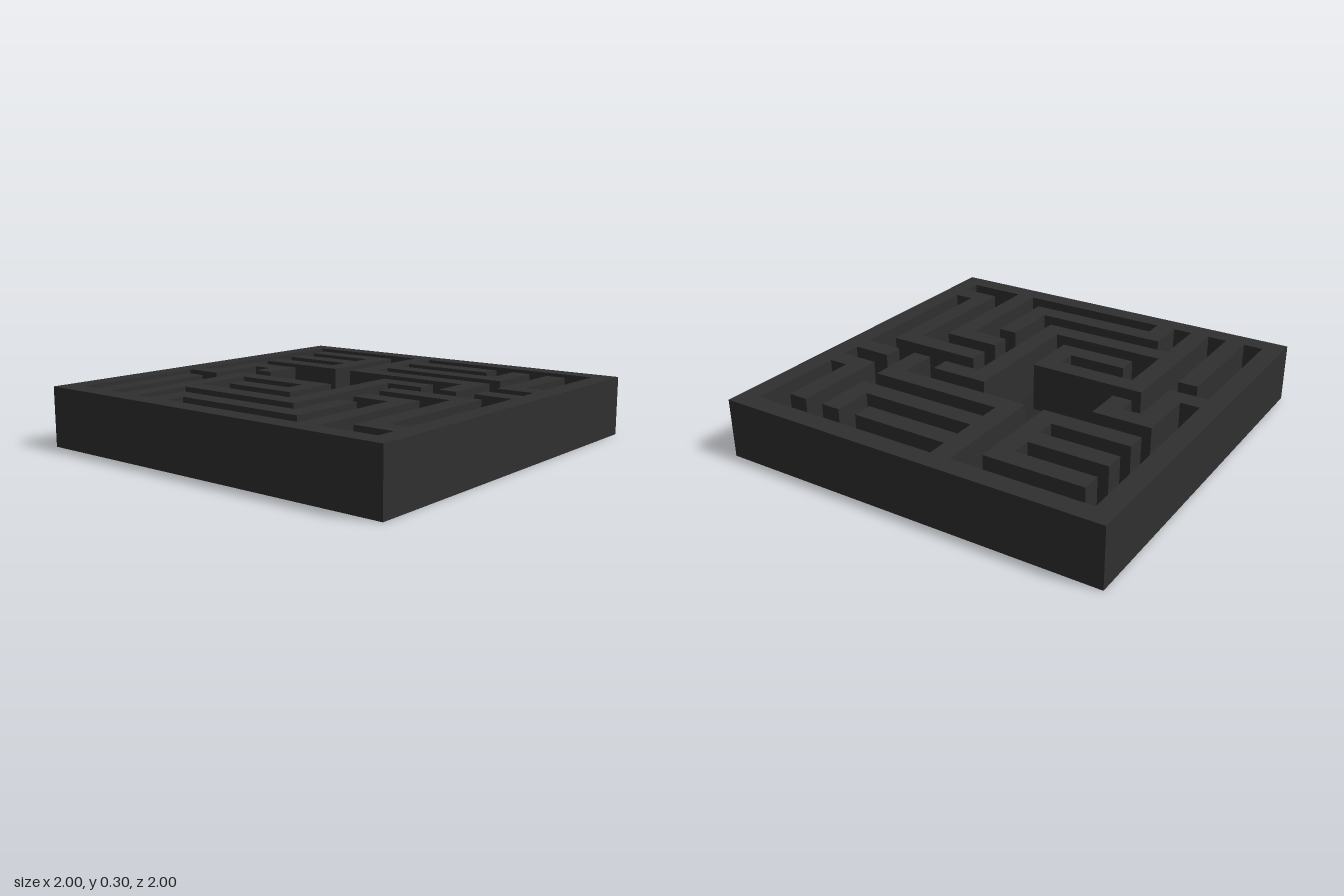
import * as THREE from 'three';

const CELL = 0.1, TOP = 0.3, FLOOR = 0.05;

// Plan of the maze, back row first: # is wall, . is path
const PLAN = [
  '####################',
  '#.......#..........#',
  '#.#####.######.#.#.#',
  '#.....#.#......#.#.#',
  '#.#####.########.#.#',
  '#.....#.#........#.#',
  '#.#####.########.###',
  '#..............#...#',
  '#.###......###.#.###',
  '#.#.#......#.......#',
  '#.#........#.#####.#',
  '###.######.#.....#.#',
  '#...#....#.#.###.#.#',
  '#.#.#.####.#...#.#.#',
  '#.#.#......#.#.#.#.#',
  '#.#.########.#.#.#.#',
  '#.#.#........#.#.#.#',
  '#.#.#.########.#.###',
  '#.#.#.#........#...#',
  '####################',
];
const N = PLAN.length;
const isWall = (c, r) => PLAN[r]?.[c] === '#';
const inside = (c, r) => c >= 0 && r >= 0 && c < N && r < N;

// Collects flat quads, corners counter-clockwise as seen from the front
function quadBuilder() {
  const pos = [], nor = [], idx = [];
  return {
    add(corners, n) {
      const k = pos.length / 3;
      for (const p of corners) { pos.push(...p); nor.push(...n); }
      idx.push(k, k + 1, k + 2, k, k + 2, k + 3);
    },
    mesh(name, color) {
      const g = new THREE.BufferGeometry();
      g.setAttribute('position', new THREE.Float32BufferAttribute(pos, 3));
      g.setAttribute('normal', new THREE.Float32BufferAttribute(nor, 3));
      g.setIndex(idx);
      const m = new THREE.Mesh(g, new THREE.MeshStandardMaterial({ color }));
      m.name = name;
      return m;
    },
  };
}

// Horizontal rectangle facing up
const flat = (x0, x1, z0, z1, y) => [[x0, y, z1], [x1, y, z1], [x1, y, z0], [x0, y, z0]];

export function createModel() {
  const group = new THREE.Group();
  group.name = 'maze';
  const walls = quadBuilder(), floor = quadBuilder(), base = quadBuilder();

  for (let r = 0; r < N; r++) {
    const z0 = -1 + r * CELL, z1 = z0 + CELL;
    // Wall tops and path floors, one strip per run of equal cells
    for (let c = 0, end; c < N; c = end) {
      end = c + 1;
      while (end < N && isWall(end, r) === isWall(c, r)) end++;
      const x0 = -1 + c * CELL, x1 = -1 + end * CELL;
      if (isWall(c, r)) walls.add(flat(x0, x1, z0, z1, TOP), [0, 1, 0]);
      else floor.add(flat(x0, x1, z0, z1, FLOOR), [0, 1, 0]);
    }
    // Wall sides wherever a wall cell meets a path
    for (let c = 0; c < N; c++) {
      if (!isWall(c, r)) continue;
      const x = -1 + (c + 0.5) * CELL, z = z0 + CELL / 2, h = CELL / 2;
      for (const [dx, dz] of [[1, 0], [-1, 0], [0, 1], [0, -1]]) {
        if (!inside(c + dx, r + dz) || isWall(c + dx, r + dz)) continue;
        const a = [x + (dx - dz) * h, z + (dz + dx) * h];
        const b = [x + (dx + dz) * h, z + (dz - dx) * h];
        walls.add([[a[0], FLOOR, a[1]], [b[0], FLOOR, b[1]], [b[0], TOP, b[1]], [a[0], TOP, a[1]]], [dx, 0, dz]);
      }
    }
  }

  // Outer sides and underside
  for (const [dx, dz] of [[1, 0], [-1, 0], [0, 1], [0, -1]]) {
    const a = [dx - dz, dz + dx], b = [dx + dz, dz - dx];
    base.add([[a[0], 0, a[1]], [b[0], 0, b[1]], [b[0], TOP, b[1]], [a[0], TOP, a[1]]], [dx, 0, dz]);
  }
  base.add(flat(-1, 1, -1, 1, 0).reverse(), [0, -1, 0]);

  group.add(
    walls.mesh('mazeWalls', 0x303030),
    floor.mesh('pathFloor', 0x282828),
    base.mesh('outerCase', 0x303030),
  );
  return group;
}
